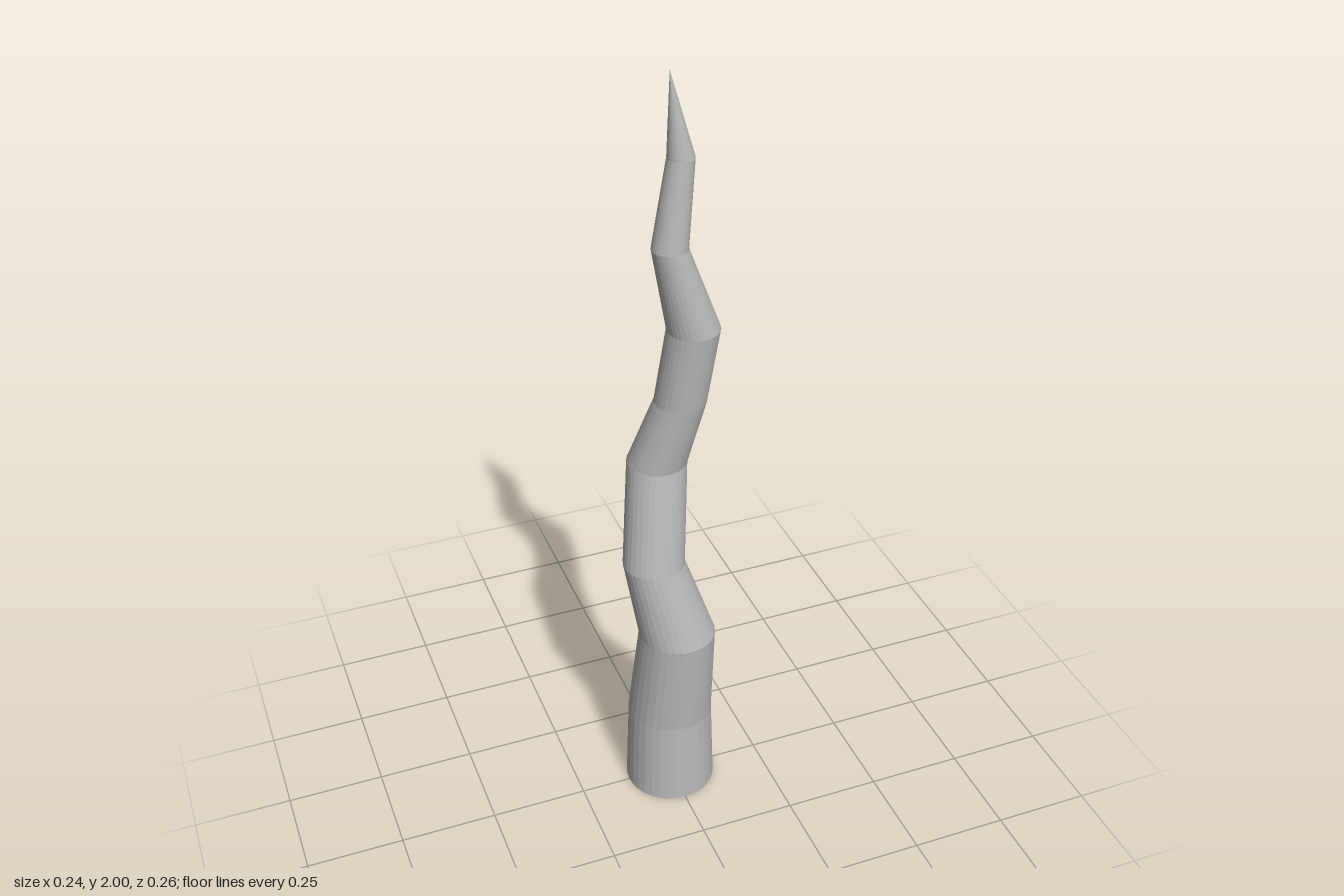
import * as THREE from 'three';

// Cross-sections of the stalk from base to tip: [y, centre x, centre z, radius]
const RINGS = [
  [0, 0, 0, 0.118],
  [0.24, 0, 0, 0.11],
  [0.515, 0.007, 0.033, 0.098],
  [0.725, -0.043, 0, 0.078],
  [0.99, -0.013, -0.055, 0.075],
  [1.175, 0.033, -0.016, 0.064],
  [1.375, 0.057, 0.005, 0.064],
  [1.59, -0.003, 0.008, 0.043],
  [1.8, 0.026, 0, 0.032],
  [2, 0, 0, 0],
];

// A capped cone whose height rows are moved onto the rings, with flat facets
function crookedSpike(rings, sides) {
  const spans = rings.length - 1;
  const cone = new THREE.CylinderGeometry(0, 1, spans, sides, spans);
  const pos = cone.attributes.position;
  for (let i = 0; i < pos.count; i++) {
    const [y, cx, cz, radius] = rings[Math.round(pos.getY(i) + spans / 2)];
    const length = Math.hypot(pos.getX(i), pos.getZ(i));
    const scale = length > 1e-6 ? radius / length : 0;
    pos.setXYZ(i, cx + pos.getX(i) * scale, y, cz + pos.getZ(i) * scale);
  }
  const faceted = cone.toNonIndexed();
  faceted.computeVertexNormals();
  return faceted;
}

export function createModel() {
  const grey = new THREE.MeshStandardMaterial({ color: 0xb8b8b8 });
  grey.name = 'grey';

  const model = new THREE.Group();
  model.name = 'crookedSpike';

  const stalk = new THREE.Mesh(crookedSpike(RINGS, 32), grey);
  stalk.name = 'stalk';
  model.add(stalk);
  return model;
}
